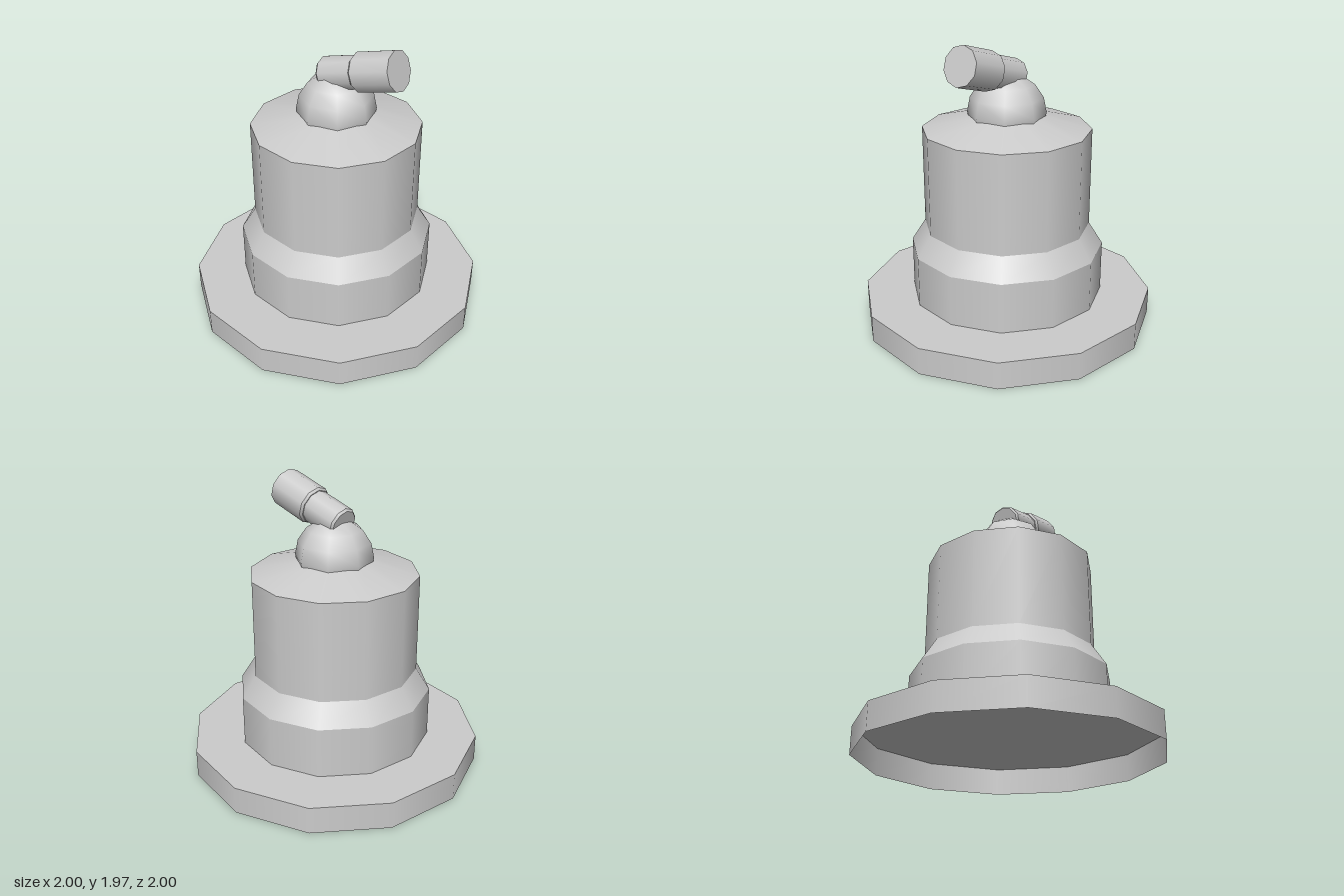
import * as THREE from 'three';

const material = new THREE.MeshStandardMaterial({ color: 0xcccccc });
const thinMaterial = new THREE.MeshStandardMaterial({ color: 0xcccccc, side: THREE.DoubleSide });

function add(parent, name, geometry, surface = material) {
  const mesh = new THREE.Mesh(geometry, surface);
  mesh.name = name;
  parent.add(mesh);
  return mesh;
}

// Frustum standing between heights y0 and y1; open ones have no end caps
function frustum(parent, name, r0, r1, y0, y1, sides, open = false) {
  const geometry = new THREE.CylinderGeometry(r1, r0, y1 - y0, sides, 1, open);
  geometry.translate(0, (y0 + y1) / 2, 0);
  return add(parent, name, geometry, open ? thinMaterial : material);
}

export function createModel() {
  const model = new THREE.Group();
  model.name = 'bellShapedFixture';

  // Twelve-sided foot, hollow underneath: a rim closed by a thin top
  frustum(model, 'baseRim', 1, 1, 0, 0.185, 12, true);
  const baseTop = add(model, 'baseTop', new THREE.CircleGeometry(1, 12), thinMaterial);
  baseTop.rotation.x = -Math.PI / 2;
  baseTop.position.y = 0.185;

  // Stepped body
  frustum(model, 'lowerBody', 0.66, 0.66, 0.185, 0.53, 12, true);
  frustum(model, 'bodyFlare', 0.66, 0.565, 0.53, 0.68, 12, true);
  frustum(model, 'upperBody', 0.565, 0.565, 0.68, 1.352, 12, true);
  frustum(model, 'shoulder', 0.565, 0.23, 1.352, 1.443, 12, true);

  // Eight-sided dome, sunk slightly into the shoulder
  const dome = add(model, 'dome',
    new THREE.SphereGeometry(0.262, 8, 5, 0, Math.PI * 2, 0, Math.PI * 0.625));
  dome.position.y = 1.46;

  // Tilted ten-sided nozzle; local y runs along its axis and ends at the tip
  const nozzle = new THREE.Group();
  nozzle.name = 'nozzle';
  const parts = new THREE.Group();
  parts.name = 'nozzleParts';
  parts.rotation.x = Math.PI / 2;
  frustum(parts, 'stemEnd', 0.1, 0.112, -0.56, -0.545, 10);
  frustum(parts, 'stem', 0.112, 0.112, -0.545, -0.295, 10, true);
  frustum(parts, 'collar', 0.118, 0.131, -0.295, -0.28, 10);
  frustum(parts, 'barrel', 0.131, 0.131, -0.28, 0, 10);
  nozzle.add(parts);
  nozzle.position.set(0.368, 1.842, 0.262);
  nozzle.rotation.set(-0.28, 0.95, 0, 'YXZ');
  model.add(nozzle);

  return model;
}
